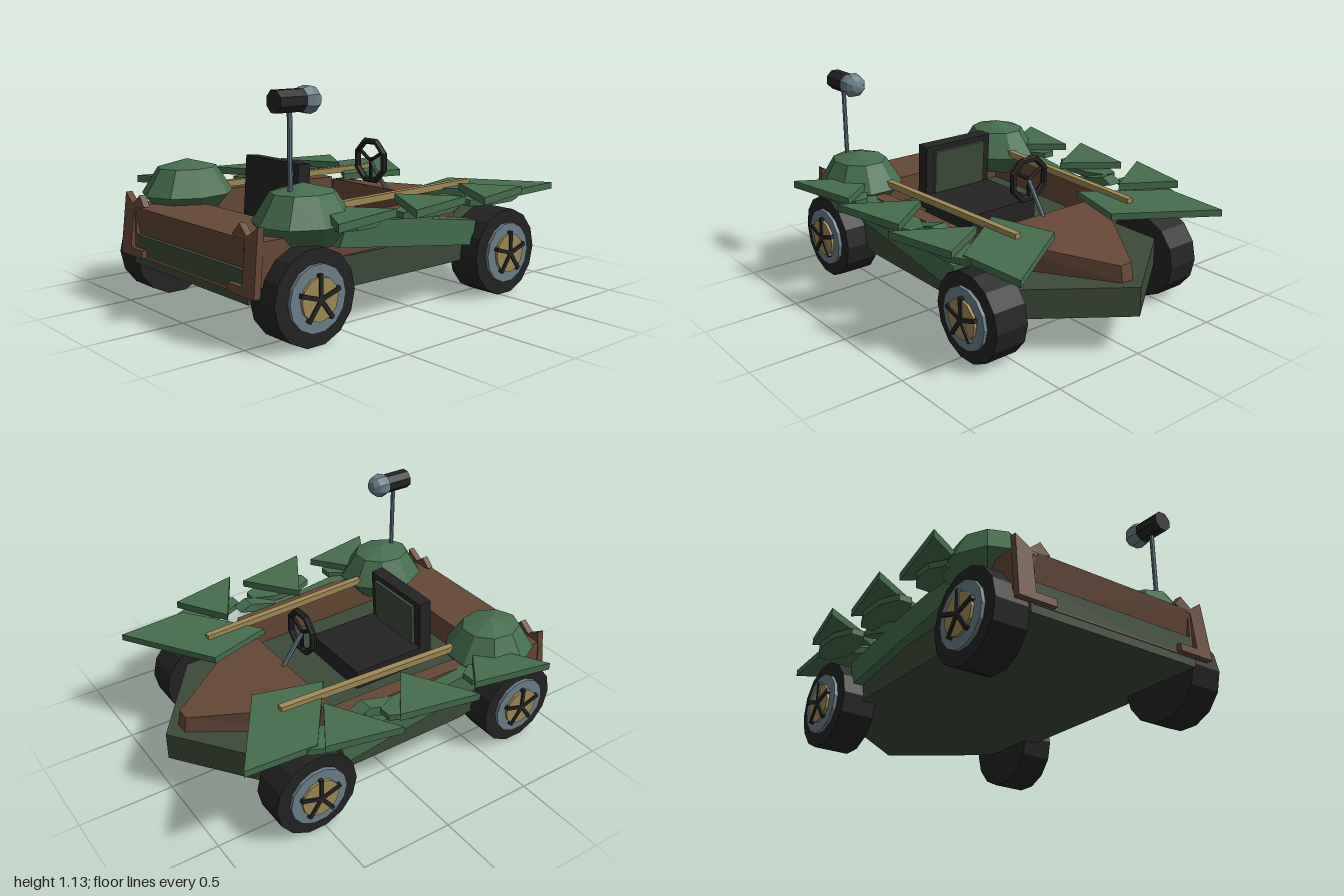
import * as THREE from 'three';

export function createModel() {
  const model = new THREE.Group();
  const mat = (name, color) => {
    const m = new THREE.MeshStandardMaterial({ color, flatShading: true });
    m.name = name;
    return m;
  };
  const leaf = mat('leaf green', 0x456e4d);
  const hullGreen = mat('dark moss green', 0x3c4b39);
  const wood = mat('bark brown', 0x664836);
  const black = mat('rubber black', 0x242424);
  const steel = mat('blue steel', 0x6c808b);
  const straw = mat('straw gold', 0xa08a55);

  const add = (name, geo, material, x = 0, y = 0, z = 0, parent = model) => {
    const mesh = new THREE.Mesh(geo, material);
    mesh.name = name;
    mesh.position.set(x, y, z);
    parent.add(mesh);
    return mesh;
  };
  const extrude = (pts, depth) => new THREE.ExtrudeGeometry(
    new THREE.Shape(pts.map(([a, b]) => new THREE.Vector2(a, b))), { depth, bevelEnabled: false });
  // flat plate from [x, z] outline, standing between heights y0 and y1
  const plan = (pts, y0, y1) =>
    extrude(pts.map(([x, z]) => [x, -z]), y1 - y0).rotateX(-Math.PI / 2).translate(0, y0, 0);
  // side profile from [z, y] outline, reaching from x0 to x1
  const profile = (pts, x0, x1) =>
    extrude(pts, x1 - x0).rotateY(-Math.PI / 2).translate(x1, 0, 0);
  const mirrorX = (pts) => [...pts, ...pts.filter(p => p[0] !== 0).reverse().map(([x, z]) => [-x, z])];
  const warp = (geo, rule) => {
    const p = geo.attributes.position, v = new THREE.Vector3();
    for (let i = 0; i < p.count; i++) {
      rule(v.fromBufferAttribute(p, i));
      p.setXYZ(i, v.x, v.y, v.z);
    }
    geo.computeVertexNormals();
    return geo;
  };
  // straight rod between two points
  const rod = (name, a, b, r, material, parent = model) => {
    const A = new THREE.Vector3(...a), d = new THREE.Vector3(...b).sub(A);
    const m = add(name, new THREE.CylinderGeometry(r, r, d.length(), 8), material, 0, 0, 0, parent);
    m.position.copy(A).addScaledVector(d, 0.5);
    m.quaternion.setFromUnitVectors(new THREE.Vector3(0, 1, 0), d.normalize());
    return m;
  };

  // Hull with pointed nose
  add('hull', plan(mirrorX([[0, -1], [0.5, -0.63], [0.56, -0.3], [0.56, 0.42], [0.49, 0.97]]), 0.2, 0.35), hullGreen);

  // Wedge hood, lower toward the tip
  add('hood', warp(plan(mirrorX([[0.035, -0.915], [0.43, -0.3]]), 0.35, 0.5), v => {
    if (v.y > 0.4) {
      v.y = 0.5 + (v.z + 0.3) * 0.11;
      v.z += v.z < -0.5 ? 0.015 : 0;
    }
  }), wood);

  // End deck with a face folded inward
  add('endDeck', profile([[0.66, 0.24], [0.975, 0.24], [0.94, 0.31], [0.975, 0.492], [0.66, 0.492]], -0.48, 0.48), wood);

  // Seat
  add('seatCushion', new THREE.BoxGeometry(0.43, 0.11, 0.42), black, 0, 0.4, 0.21);
  const seatBack = add('seatBack', new THREE.BoxGeometry(0.43, 0.36, 0.072), black, 0, 0.553, 0.443);
  seatBack.rotation.x = -0.07;
  add('seatBackPad', new THREE.BoxGeometry(0.33, 0.24, 0.02), hullGreen, 0, 0.03, -0.045, seatBack);

  // Steering wheel and column
  const steering = new THREE.Group();
  steering.name = 'steeringWheel';
  steering.position.set(0, 0.665, -0.2);
  model.add(steering);
  add('steeringRim', new THREE.TorusGeometry(0.112, 0.018, 6, 8).rotateZ(Math.PI / 8), black, 0, 0, 0, steering);
  for (let i = 0; i < 3; i++) {
    const a = Math.PI / 2 + (i * 2 + 1) * Math.PI / 3;
    rod('steeringSpoke', [0, 0, 0], [0.11 * Math.cos(a), 0.11 * Math.sin(a), 0], 0.01, black, steering);
  }
  rod('steeringColumn', [0, 0.66, -0.2], [0, 0.48, -0.325], 0.012, steel);

  // Lamp on its mast
  rod('lampMast', [0.505, 0.66, 0.745], [0.505, 1.04, 0.745], 0.012, steel);
  add('lampBarrel', new THREE.CylinderGeometry(0.054, 0.054, 0.17, 8).rotateY(Math.PI / 8).rotateX(Math.PI / 2),
    black, 0.505, 1.075, 0.745);
  add('lampBulb', new THREE.SphereGeometry(0.067, 8, 6).rotateY(Math.PI / 8).rotateX(Math.PI / 2),
    steel, 0.505, 1.075, 0.648);

  // Wheel with hub plate and five spokes, facing +x
  const buildWheel = (s, z) => {
    const wheel = new THREE.Group();
    wheel.name = 'wheel';
    wheel.position.set(s * 0.575, 0.226, z);
    wheel.rotation.y = s > 0 ? 0 : Math.PI;
    model.add(wheel);
    const disc = (name, r, x0, x1, m, n) =>
      add(name, new THREE.CylinderGeometry(r, r, x1 - x0, n).rotateZ(-Math.PI / 2), m, (x0 + x1) / 2, 0, 0, wheel);
    disc('tire', 0.226, -0.09, 0.09, black, 14);
    disc('rim', 0.157, 0.08, 0.108, steel, 14);
    disc('hubPlate', 0.102, 0.1, 0.122, straw, 12);
    for (let i = 0; i < 5; i++) {
      const spoke = add('spoke', new THREE.BoxGeometry(0.02, 0.115, 0.02).translate(0, 0.057, 0), black, 0.12, 0, 0, wheel);
      spoke.rotation.x = i * Math.PI * 2 / 5;
    }
  };

  // Everything that comes in pairs
  for (const s of [1, -1]) {
    const side = (pts) => pts.map(([x, z]) => [s * x, z]);
    buildWheel(s, 0.733);
    buildWheel(s, -0.54);

    // Side wall, splayed slightly toward the deck
    add('sideWall', warp(profile([[-0.3, 0.35], [0.75, 0.35], [0.75, 0.5], [0.35, 0.52], [-0.3, 0.51]], -0.04, 0.04),
      v => { v.x += s * (0.48 + 0.035 * (v.z + 0.3)); }), wood);

    // Notched corner bracket leaning back
    add('cornerBracket', warp(extrude([[0.37, 0.245], [0.575, 0.245], [0.565, 0.555], [0.49, 0.505], [0.43, 0.555],
      [0.38, 0.5], [0.48, 0.475], [0.48, 0.285], [0.37, 0.285]].map(([x, y]) => [s * x, y]), 0.035),
      v => { v.z += 0.943 + (0.45 - v.y) * 0.105; }), wood);
    add('bracketReturn', new THREE.BoxGeometry(0.1, 0.2, 0.2), wood, s * 0.515, 0.39, 0.87);

    // Forked vine along the side
    const vine = (name, pts) => add(name, profile(pts, s > 0 ? 0.53 : -0.61, s > 0 ? 0.61 : -0.53), leaf);
    vine('lowerVine', [[0.55, 0.41], [0.5, 0.53], [0.04, 0.475], [-0.37, 0.41], [-0.34, 0.285]]);
    vine('upperVine', [[0.1, 0.46], [0.04, 0.49], [-0.2, 0.56], [-0.27, 0.53], [0, 0.45]]);

    // Faceted bush over the end wheel
    const bush = [[0, 0.4], [0.13, 0.42], [0.218, 0.53], [0.14, 0.665], [0, 0.706]]
      .map(([r, y]) => new THREE.Vector2(r, y));
    add('bush', new THREE.LatheGeometry(bush, 9), leaf, s * 0.482, 0, 0.655).scale.z = 1.13;

    // Large leaf over the nose wheel, then a row of small leaves on clumps
    add('largeLeaf', plan(side([[0.66, -0.92], [0.19, -0.61], [0.29, -0.26], [0.685, -0.55]]), 0.515, 0.55), leaf);
    for (let i = 0; i < 3; i++) {
      const z = i * 0.46;
      const dz = i === 0 ? 0.04 : 0;
      add('smallLeaf', plan(side([[0.75, -0.59 + z + dz], [0.475, -0.38 + z], [0.835, -0.17 + z]]), 0.545, 0.583), leaf);
      const clump = add('leafClump', new THREE.CylinderGeometry(1, 1, 0.032, 8).rotateY(Math.PI / 8),
        leaf, s * 0.65, 0.525, -0.42 + z);
      clump.scale.set(0.09, 1, i === 2 ? 0.14 : 0.2);
    }

    // Straw rail
    add('strawRail', plan(side([[0.355, -0.56], [0.39, -0.56], [0.44, 0.46], [0.405, 0.46]]), 0.542, 0.575), straw);
  }
  return model;
}
